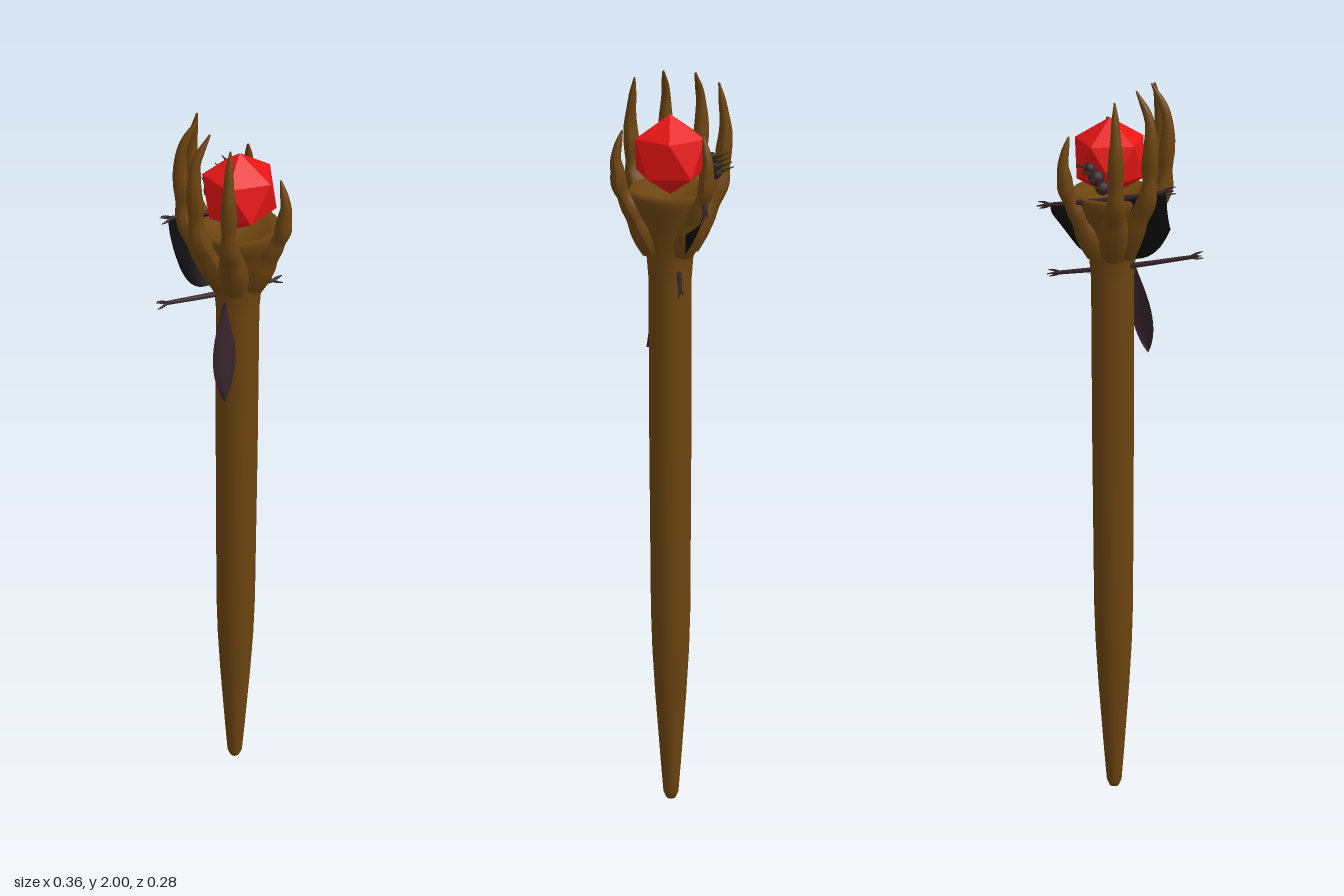
import * as THREE from 'three';

const V = (x, y, z) => new THREE.Vector3(x, y, z);
const AXIS_X = 0.038, AXIS_Z = 0.012;

const mat = (name, color, side = THREE.FrontSide) => {
  const m = new THREE.MeshStandardMaterial({ color, side });
  m.name = name;
  return m;
};

// Tube along points whose radius follows a list spread evenly along its length
function limb(points, radii, rings = 20, sides = 10) {
  const curve = new THREE.CatmullRomCurve3(points);
  const geo = new THREE.TubeGeometry(curve, rings, 1, sides);
  const pos = geo.attributes.position, nor = geo.attributes.normal;
  for (let i = 0; i < pos.count; i++) {
    const t = Math.floor(i / (sides + 1)) / rings;
    const f = t * (radii.length - 1), k = Math.min(Math.floor(f), radii.length - 2);
    const r = THREE.MathUtils.lerp(radii[k], radii[k + 1], f - k);
    const p = curve.getPointAt(t).addScaledVector(V(nor.getX(i), nor.getY(i), nor.getZ(i)), r);
    pos.setXYZ(i, p.x, p.y, p.z);
  }
  geo.computeVertexNormals();
  return geo;
}

export function createModel() {
  const group = new THREE.Group();
  const wood = mat('brown wood', 0x6c4410);
  const red = mat('red crystal', 0xf01616);
  red.flatShading = true;
  const black = mat('black hide', 0x0c0c0e, THREE.DoubleSide);
  const dark = mat('dark twig', 0x35232a, THREE.DoubleSide);
  const olive = mat('olive claw', 0x3a300e);

  const add = (name, geo, material, parent = group) => {
    const mesh = new THREE.Mesh(geo, material);
    mesh.name = name;
    parent.add(mesh);
    return mesh;
  };

  // Tapered shaft flaring into a cupped palm
  const profile = [[0, 0], [0.014, 0.002], [0.021, 0.02], [0.028, 0.12], [0.042, 0.34], [0.049, 0.48],
    [0.052, 0.6], [0.053, 1.1], [0.052, 1.52], [0.058, 1.6], [0.072, 1.66], [0.092, 1.71],
    [0.1, 1.735], [0.094, 1.745], [0.07, 1.735], [0.035, 1.715], [0, 1.71]];
  const shaft = add('shaftAndPalm', new THREE.LatheGeometry(profile.map(p => new THREE.Vector2(...p)), 28), wood);
  shaft.position.set(AXIS_X, 0, AXIS_Z);

  // Six knuckled fingers, mirrored front to back
  const fingers = [[-0.082, 0.043, 2.0, -0.045], [-0.03, 0.113, 1.985, -0.022], [0.107, 0.107, 1.89, 0.1]];
  for (const [x, dz, top, tipX] of fingers) {
    for (const s of [1, -1]) {
      const at = (k, y) => V(AXIS_X + (x - AXIS_X) * k, y, AXIS_Z + s * dz * k);
      const h = top - 1.755;
      const pts = [at(0.3, 1.6), at(0.68, 1.69), at(0.96, 1.755), at(1, 1.755 + h * 0.3),
        at(1.03, 1.755 + h * 0.5), at(0.98, 1.755 + h * 0.75), V(tipX, top, AXIS_Z + s * dz * 0.9)];
      add('finger', limb(pts, [0.034, 0.036, 0.034, 0.026, 0.024, 0.016, 0.02, 0.017, 0.012, 0.009, 0.002], 28, 12), wood);
    }
  }

  // Crystal standing on one point
  const crystal = new THREE.IcosahedronGeometry(0.095, 0);
  crystal.rotateZ(Math.atan(2 / (1 + Math.sqrt(5))));
  crystal.rotateY(-22 * Math.PI / 180);
  add('crystal', crystal, red).position.set(0.042, 1.825, 0.01);

  // Crossing twigs with splayed ends
  const twig = (name, a, b) => {
    const g = new THREE.Group();
    g.name = name;
    group.add(g);
    const dir = b.clone().sub(a).normalize();
    const mid = a.clone().lerp(b, 0.5).add(V(0, -0.004, 0));
    const inA = a.clone().addScaledVector(dir, 0.03), inB = b.clone().addScaledVector(dir, -0.03);
    add('stem', limb([inA, mid, inB], [0.005, 0.007, 0.005], 12, 7), dark, g);
    for (const [root, end] of [[inA, a], [inB, b]]) {
      for (const [dy, dz] of [[0.01, 0.002], [-0.008, 0.006], [0.002, -0.007]]) {
        const tip = end.clone().add(V(0, dy, dz));
        add('fork', limb([root, root.clone().lerp(tip, 0.5).add(V(0, dy * 0.2, 0)), tip], [0.004, 0.003, 0.001], 5, 5), dark, g);
      }
    }
  };
  twig('lowerTwig', V(-0.18, 1.6, 0.058), V(0.18, 1.53, -0.053));
  twig('upperTwig', V(-0.14, 1.775, -0.015), V(0.172, 1.72, -0.109));

  // Hide hanging from the upper twig
  const hide = new THREE.PlaneGeometry(1, 1, 24, 10);
  const hp = hide.attributes.position;
  for (let i = 0; i < hp.count; i++) {
    const u = hp.getX(i) + 0.5, v = 0.5 - hp.getY(i);
    const topY = 1.77 - 0.05 * u;
    const bottomY = 1.585 + 0.08 * Math.abs(2 * u - 1) ** 4;
    hp.setXYZ(i, 0.012 + (u - 0.5) * (0.265 - 0.02 * v * v), THREE.MathUtils.lerp(topY, bottomY, v),
      -0.02 - 0.078 * u + 0.045 * v * v);
  }
  hide.computeVertexNormals();
  add('hide', hide, black);

  // Drooping leaf on the front of the shaft
  const leaf = new THREE.PlaneGeometry(1, 1, 6, 16);
  const lp = leaf.attributes.position;
  for (let i = 0; i < lp.count; i++) {
    const s = lp.getX(i) * 2, v = 0.5 - lp.getY(i);
    const w = 0.029 * Math.sin(Math.PI * v ** 1.25) ** 0.75;
    lp.setXYZ(i, -0.006 - 0.018 * v + s * w, 1.56 - 0.25 * v, 0.046 + 0.045 * v - 0.008 * s * s);
  }
  leaf.computeVertexNormals();
  add('leaf', leaf, dark);

  // Small dried creature clinging between the rear fingers
  const creature = new THREE.Group();
  creature.name = 'creature';
  creature.position.set(0.022, 1.8, -0.09);
  group.add(creature);
  for (const [x, y, r] of [[-0.012, -0.018, 0.017], [0.004, 0.004, 0.019], [0.022, 0.024, 0.014]]) {
    add('bodySegment', new THREE.SphereGeometry(r, 12, 8), dark, creature).position.set(x, y, 0);
  }
  for (let i = 0; i < 4; i++) {
    const x = -0.022 + i * 0.017, y = -0.022 + i * 0.016;
    const pts = [V(x, y, 0), V(x + 0.009, y + 0.01, -0.024), V(x + 0.004, y + 0.018, -0.044)];
    add('hookedLeg', limb(pts, [0.005, 0.004, 0.001], 8, 6), olive, creature);
  }
  return group;
}
